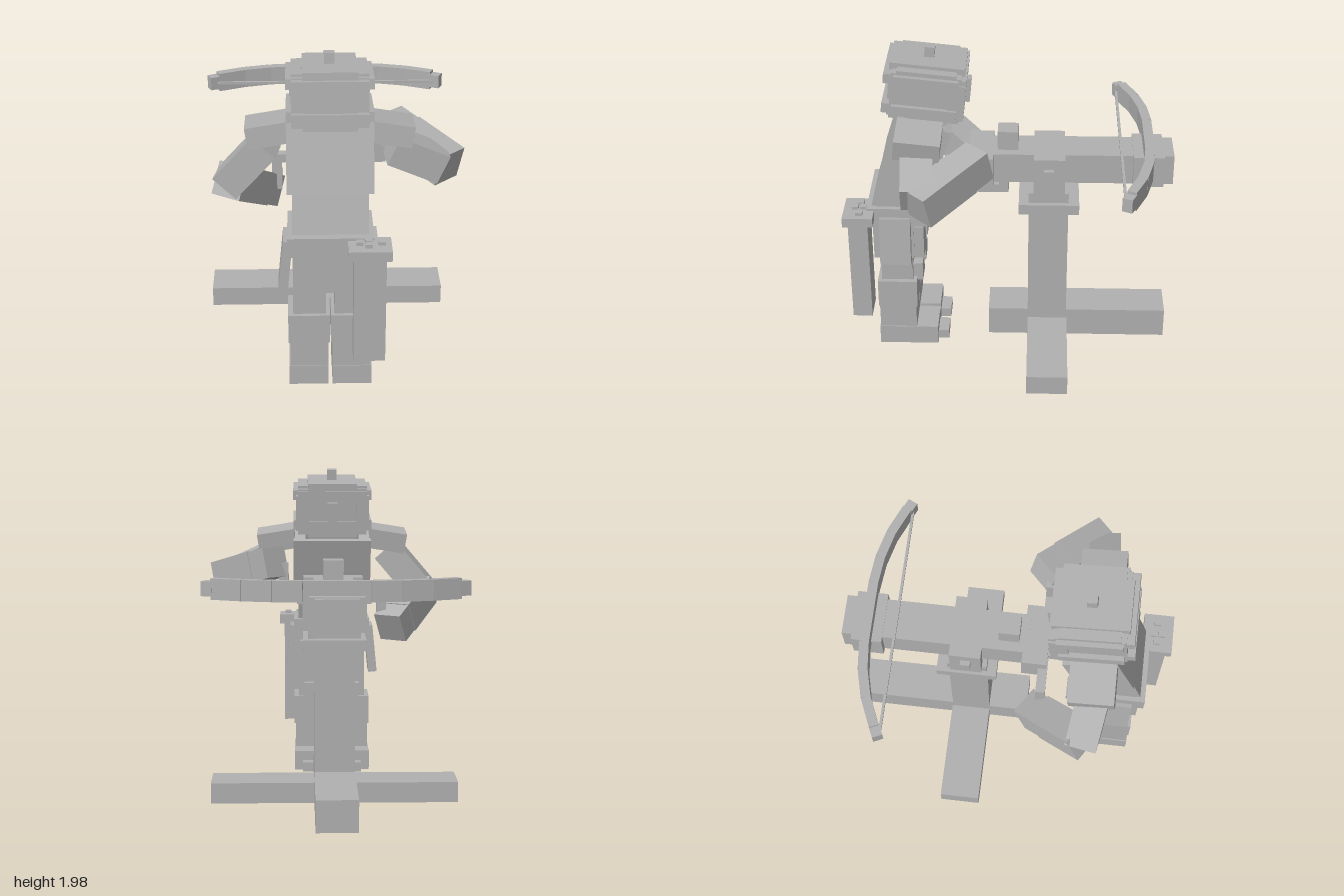
import * as THREE from 'three';

const stone = new THREE.MeshStandardMaterial({ color: 0xb0b0b0 });
stone.name = 'plain grey';

// Box given by its lower and upper bounds on each axis
function span(parent, name, x0, x1, y0, y1, z0, z1) {
  const m = new THREE.Mesh(new THREE.BoxGeometry(x1 - x0, y1 - y0, z1 - z0), stone);
  m.position.set((x0 + x1) / 2, (y0 + y1) / 2, (z0 + z1) / 2);
  m.name = name;
  parent.add(m);
  return m;
}

// Box running from point a to point b
function limb(parent, name, a, b, w, h) {
  const p = new THREE.Vector3(...a), q = new THREE.Vector3(...b);
  const m = new THREE.Mesh(new THREE.BoxGeometry(w, h, p.distanceTo(q)), stone);
  m.position.copy(p).lerp(q, 0.5);
  m.lookAt(q);
  m.name = name;
  parent.add(m);
  return m;
}

function group(parent, name, x = 0, y = 0, z = 0, tilt = 0) {
  const g = new THREE.Group();
  g.name = name;
  g.position.set(x, y, z);
  g.rotation.x = tilt;
  parent.add(g);
  return g;
}

function buildCrossbow(root) {
  // Cross-shaped base, post and swivel bracket
  const stand = group(root, 'stand');
  span(stand, 'baseCrossBar', -0.755, 0.74, 0, 0.125, -0.375, -0.125);
  span(stand, 'baseLongBar', -0.13, 0.115, 0, 0.19, -1, 0.125);
  span(stand, 'post', -0.13, 0.115, 0.19, 0.94, -0.37, -0.125);
  span(stand, 'postCap', -0.195, 0.18, 0.94, 1.005, -0.435, -0.065);
  span(stand, 'swivel', -0.165, 0.15, 1.005, 1.07, -0.37, -0.125);
  for (const s of [-1, 1]) {
    const c = s * 0.157 - 0.008;
    span(stand, 'bracketCheek', c - 0.035, c + 0.035, 1.07, 1.32, -0.345, -0.155);
  }
  span(stand, 'pivotPin', -0.23, 0.215, 1.2, 1.255, -0.277, -0.217);

  // Stock with sight, rear block, grips and trigger
  const bow = group(root, 'crossbow');
  span(bow, 'stock', -0.13, 0.115, 1.13, 1.32, -1, 0.12);
  span(bow, 'bowHead', -0.165, 0.147, 1.125, 1.325, -0.94, -0.755);
  span(bow, 'sight', -0.07, 0.055, 1.32, 1.44, -0.06, 0.065);
  span(bow, 'rearBlock', -0.195, 0.178, 1.13, 1.318, 0.09, 0.24);
  span(bow, 'gripBar', -0.345, 0.335, 1.195, 1.25, 0.19, 0.247);
  for (const x of [-0.315, 0.3]) {
    const up = x > 0 ? 0.15 : -0.03;
    span(bow, 'grip', x - 0.03, x + 0.03, 1.05 + up, 1.25 + up, 0.19, 0.247);
  }
  span(bow, 'triggerLever', -0.04, 0.025, 1.005, 1.06, 0, 0.375);
  span(bow, 'triggerPost', -0.04, 0.025, 1.06, 1.13, 0, 0.06);

  // Curved bow arms, tips and string
  const path = [[0, -0.845], [0.19, -0.845], [0.36, -0.828], [0.53, -0.785], [0.7, -0.712]];
  for (const s of [-1, 1]) {
    const at = ([x, z]) => [s * x - 0.008, 1.348, z];
    for (let i = 0; i < 4; i++) limb(bow, 'bowArm', at(path[i]), at(path[i + 1]), 0.058, 0.12);
    limb(bow, 'bowTip', at([0.69, -0.715]), at([0.755, -0.685]), 0.062, 0.085);
  }
  span(bow, 'bowString', -0.71, 0.695, 1.34, 1.356, -0.688, -0.672);
}

function buildLegs(body) {
  // Mirrored legs: s is the side, inner and outer measured from the middle
  for (const s of [-1, 1]) {
    const leg = group(body, s > 0 ? 'leftLeg' : 'rightLeg');
    const part = (name, a, b, ...r) =>
      span(leg, name, Math.min(s * a, s * b) - 0.008, Math.max(s * a, s * b) - 0.008, ...r);
    part('foot', 0.012, 0.245, 0, 0.125, 0.445, 0.815);
    part('toe', 0.05, 0.19, 0, 0.062, 0.38, 0.445);
    part('ankle', 0.012, 0.238, 0.125, 0.285, 0.58, 0.81);
    part('shinGuard', 0.003, 0.248, 0.285, 0.47, 0.57, 0.815);
    part('knee', 0.025, 0.218, 0.47, 0.63, 0.595, 0.79);
    part('kneePad', 0.05, 0.18, 0.445, 0.565, 0.535, 0.6);
    part('thigh', 0.012, 0.218, 0.63, 0.9, 0.58, 0.79);
    part('frontTasset', 0.06, 0.21, 0.63, 0.85, 0.52, 0.58);
    limb(leg, 'hipPlate', [s * 0.245 - 0.008, 0.94, 0.69], [s * 0.275 - 0.008, 0.63, 0.69], 0.19, 0.055)
      .name = 'hipPlate';
  }
  span(body, 'backSkirt', -0.225, 0.21, 0.63, 0.88, 0.77, 0.83);
  span(body, 'beltPouch', -0.08, 0.065, 0.85, 1, 0.47, 0.52);
  span(body, 'belt', -0.255, 0.24, 0.88, 1, 0.5, 0.86);
}

function buildQuiver(body) {
  const quiver = group(body, 'quiver');
  span(quiver, 'quiverTube', 0.12, 0.305, 0.255, 0.94, 0.85, 0.97);
  span(quiver, 'quiverLip', 0.088, 0.335, 0.925, 0.985, 0.815, 1);
  for (const [x, z] of [[0.155, 0.9], [0.205, 0.93], [0.205, 0.88], [0.28, 0.9]])
    span(quiver, 'boltEnd', x - 0.02, x + 0.02, 0.97, 1.005, z - 0.02, z + 0.02);
}

function buildTorsoAndHead(body) {
  // Torso leaning forwards
  const waist = group(body, 'waist', -0.008, 0.97, 0.69, -0.28);
  span(waist, 'waistBlock', -0.218, 0.218, 0, 0.26, -0.145, 0.145);
  const chest = group(body, 'chest', -0.008, 1.185, 0.615, -0.31);
  span(chest, 'chestBlock', -0.248, 0.248, 0, 0.41, -0.165, 0.165);
  span(chest, 'collar', -0.17, 0.17, 0.41, 0.46, -0.13, 0.12);

  // Helmeted head built of stacked layers, tilted slightly downwards
  const head = group(body, 'head', -0.008, 1.74, 0.485, -0.1);
  span(head, 'neck', -0.155, 0.155, -0.2, -0.15, -0.14, 0.14);
  span(head, 'skull', -0.218, 0.218, -0.15, 0.14, -0.205, 0.205);
  span(head, 'longCore', -0.155, 0.155, -0.165, 0.175, -0.222, 0.222);
  span(head, 'helmetCrown', -0.218, 0.218, 0.13, 0.155, -0.175, 0.175);
  for (const y of [-0.12, 0.07]) {
    span(head, 'sideRim', -0.248, 0.248, y, y + 0.06, -0.19, 0.19);
    span(head, 'helmetRim', -0.218, 0.218, y, y + 0.06, -0.235, 0.25);
  }
  span(head, 'noseGuard', -0.032, 0.032, -0.09, 0.06, -0.262, -0.2);
  for (const x of [-0.19, 0.19])
    span(head, 'cheekGuard', x - 0.04, x + 0.04, -0.12, 0.1, -0.235, -0.13);
  span(head, 'helmetKnob', -0.03, 0.03, 0.175, 0.238, -0.03, 0.03);
}

function buildArms(body) {
  const arms = [
    ['rightArm', -1, [-0.37, 1.46, 0.54], [-0.6, 1.19, 0.5], [-0.59, 1.2, 0.5], [-0.37, 0.99, 0.16]],
    ['leftArm', 1, [0.35, 1.43, 0.53], [0.64, 1.3, 0.51], [0.69, 1.28, 0.51], [0.35, 1.41, 0.16]],
  ];
  for (const [name, s, shoulder, elbow, start, end] of arms) {
    const arm = group(body, name);
    // Sloping shoulder plate
    const pad = group(arm, 'shoulder', s * 0.355 - 0.008, 1.535, 0.52, -0.1);
    pad.rotation.z = -s * 0.16;
    span(pad, 'shoulderPlate', -0.12, 0.12, -0.065, 0.06, -0.135, 0.135);
    limb(arm, 'upperArm', shoulder, elbow, 0.19, 0.18);
    // Forearm split into sleeve and slightly smaller hand
    const cut = start.map((v, i) => v + (end[i] - v) * 0.72);
    limb(arm, 'forearm', start, cut, 0.195, 0.2);
    limb(arm, 'hand', cut, end, 0.185, 0.19);
  }
}

export function createModel() {
  const root = new THREE.Group();
  root.name = 'crossbowman';
  buildCrossbow(root);
  const body = group(root, 'soldier');
  buildLegs(body);
  buildQuiver(body);
  buildTorsoAndHead(body);
  buildArms(body);
  return root;
}
